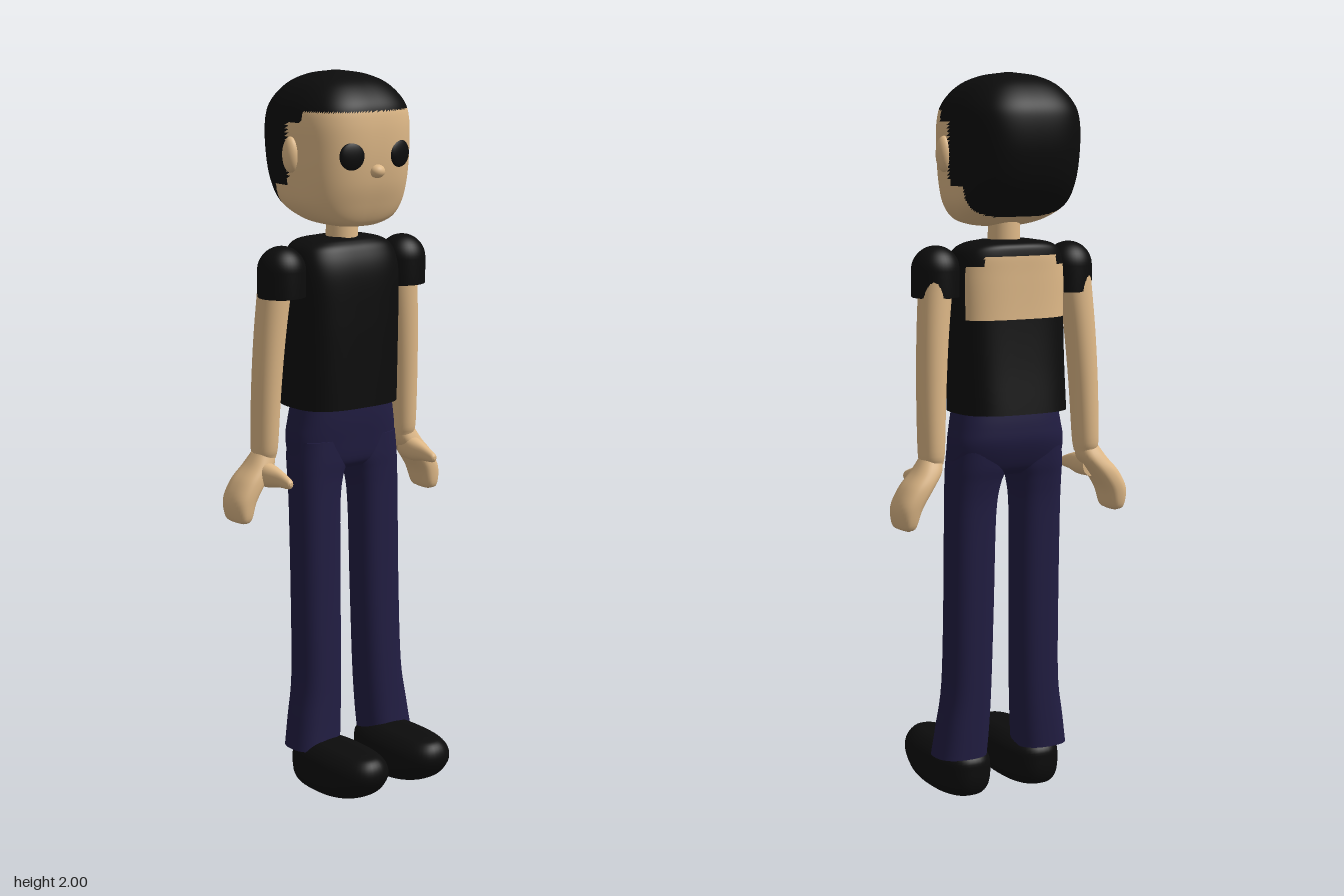
import * as THREE from 'three';

const mat = (color) => new THREE.MeshStandardMaterial({ color, roughness: 0.9 });
const SKIN = mat(0xdeb887), BLACK = mat(0x0c0c0c), DENIM = mat(0x211d42);

// Smooth closed body through rounded cross-sections.
// rows run bottom to top: [y, xMin, xMax, zMin, zMax]; n sets how square the section is.
function loft(rows, { n = 2.3, cols = 40, steps = 5, side = 1 } = {}) {
  const xs = rows.map(([y, a, b]) => side > 0 ? new THREE.Vector3(a, y, b) : new THREE.Vector3(-b, y, -a));
  const zs = rows.map(([y, , , a, b]) => new THREE.Vector3(a, y, b));
  const curveX = new THREE.CatmullRomCurve3(xs, false, 'catmullrom', 0.5);
  const curveZ = new THREE.CatmullRomCurve3(zs, false, 'catmullrom', 0.5);
  const pos = [], index = [], count = (rows.length - 1) * steps;
  const power = (v) => Math.sign(v) * Math.abs(v) ** (2 / n);

  const ring = (i) => {
    const start = pos.length / 3;
    const px = curveX.getPoint(i / count), pz = curveZ.getPoint(i / count);
    const cx = (px.x + px.z) / 2, cz = (pz.x + pz.z) / 2;
    for (let j = 0; j < cols; j++) {
      const a = (j / cols) * Math.PI * 2;
      pos.push(cx + (px.z - px.x) / 2 * power(Math.cos(a)), px.y,
        cz + (pz.z - pz.x) / 2 * power(Math.sin(a)));
    }
    return { start, centre: [cx, px.y, cz] };
  };

  for (let i = 0; i <= count; i++) ring(i);
  for (let i = 0; i < count; i++) {
    for (let j = 0; j < cols; j++) {
      const a = i * cols + j, b = i * cols + (j + 1) % cols;
      index.push(a, a + cols, b, b, a + cols, b + cols);
    }
  }
  // End caps with their own edge, so hems stay crisp
  for (const i of [0, count]) {
    const { start, centre } = ring(i), c = pos.length / 3;
    pos.push(...centre);
    for (let j = 0; j < cols; j++) {
      const a = start + j, b = start + (j + 1) % cols;
      index.push(c, i ? b : a, i ? a : b);
    }
  }
  const g = new THREE.BufferGeometry();
  g.setAttribute('position', new THREE.Float32BufferAttribute(pos, 3));
  g.setIndex(index);
  g.computeVertexNormals();
  return g;
}

// Divides a surface in two by a rule on the middle of each face.
function split(g, rule) {
  const p = g.attributes.position, idx = g.index.array, yes = [], no = [];
  for (let i = 0; i < idx.length; i += 3) {
    const t = [idx[i], idx[i + 1], idx[i + 2]];
    const mid = (get) => (get(t[0]) + get(t[1]) + get(t[2])) / 3;
    const hit = rule(mid((k) => p.getX(k)), mid((k) => p.getY(k)), mid((k) => p.getZ(k)));
    (hit ? yes : no).push(...t);
  }
  return [yes, no].map((list) => g.clone().setIndex(list));
}

export function createModel() {
  const model = new THREE.Group();
  const add = (name, geometry, material) => {
    const mesh = new THREE.Mesh(geometry, material);
    mesh.name = name;
    model.add(mesh);
    return mesh;
  };
  const ball = (name, material, position, scale) => {
    const mesh = add(name, new THREE.SphereGeometry(1, 28, 18), material);
    mesh.position.set(...position);
    mesh.scale.set(...scale);
    return mesh;
  };

  // Head, with the hair cut in steps around the ears
  const skull = loft([
    [1.588, -0.02, 0.02, 0.12, 0.16],
    [1.592, -0.07, 0.07, 0.07, 0.18],
    [1.61, -0.125, 0.125, 0.02, 0.195],
    [1.65, -0.16, 0.16, -0.055, 0.212],
    [1.71, -0.172, 0.172, -0.1, 0.23],
    [1.79, -0.176, 0.176, -0.121, 0.24],
    [1.87, -0.175, 0.175, -0.122, 0.24],
    [1.92, -0.16, 0.16, -0.107, 0.228],
    [1.965, -0.122, 0.122, -0.065, 0.185],
    [1.99, -0.07, 0.07, -0.015, 0.13],
    [2.0, -0.01, 0.01, 0.045, 0.065],
  ], { n: 2.8, cols: 144, steps: 8 });
  const [hair, face] = split(skull, (x, y, z) =>
    y > 1.9 || (z < 0.125 && y > 1.87) || (z < 0.07 && y > 1.7) || (z < 0.005 && y > 1.615));
  add('hair', hair, BLACK);
  add('face', face, SKIN);
  ball('nose', SKIN, [0, 1.742, 0.236], [0.022, 0.018, 0.02]);
  add('neck', new THREE.CylinderGeometry(0.042, 0.046, 0.12, 32), SKIN).position.set(0, 1.57, 0.08);

  // Shirt with an open panel across the upper back
  const torso = loft([
    [1.09, -0.16, 0.16, -0.055, 0.185],
    [1.22, -0.16, 0.16, -0.04, 0.186],
    [1.345, -0.161, 0.161, -0.03, 0.186],
    [1.46, -0.162, 0.162, -0.026, 0.182],
    [1.52, -0.15, 0.15, -0.024, 0.165],
    [1.545, -0.12, 0.12, -0.014, 0.143],
    [1.555, -0.07, 0.07, 0.02, 0.115],
  ], { n: 3, cols: 120, steps: 8 });
  const [back, shirt] = split(torso, (x, y, z) =>
    z < 0.02 && y > 1.345 && y < (Math.abs(x) < 0.11 ? 1.515 : 1.49));
  add('shirt', shirt, BLACK);
  add('bareBack', back, SKIN);

  // Hips
  add('hips', loft([
    [0.915, -0.13, 0.13, 0.03, 0.135],
    [0.94, -0.165, 0.165, 0.008, 0.15],
    [1.0, -0.17, 0.17, -0.014, 0.158],
    [1.05, -0.162, 0.162, -0.016, 0.163],
    [1.1, -0.152, 0.152, -0.012, 0.165],
  ], { n: 2.6, cols: 64 }), DENIM);

  // Domed sleeve profile
  const dome = [new THREE.Vector2(0, 0), new THREE.Vector2(0.064, 0), new THREE.Vector2(0.066, 0.002)];
  for (let i = 0; i <= 12; i++) {
    const a = (i / 12) * Math.PI / 2;
    dome.push(new THREE.Vector2(0.066 * Math.cos(a), 0.072 + 0.066 * Math.sin(a)));
  }

  for (const side of [1, -1]) {
    const label = side > 0 ? 'left' : 'right';

    ball(label + 'Eye', BLACK, [side * 0.08, 1.785, 0.23], [0.037, 0.037, 0.011]).rotation.y = side * 0.18;
    ball(label + 'Ear', SKIN, [side * 0.178, 1.785, 0.09], [0.021, 0.048, 0.026]);

    add(label + 'Sleeve', new THREE.LatheGeometry(dome, 40), BLACK).position.set(side * 0.207, 1.405, 0.085);

    add(label + 'Arm', loft([
      [0.96, 0.212, 0.274, 0.012, 0.08],
      [1.0, 0.208, 0.277, 0.004, 0.09],
      [1.15, 0.2, 0.277, 0.008, 0.098],
      [1.3, 0.188, 0.272, 0.014, 0.106],
      [1.45, 0.17, 0.262, 0.022, 0.114],
    ], { n: 2.1, side }), SKIN);

    // Mitten hand with a tapered thumb reaching forward
    add(label + 'Hand', loft([
      [0.788, 0.318, 0.334, 0.015, 0.07],
      [0.8, 0.303, 0.352, -0.005, 0.09],
      [0.85, 0.284, 0.358, -0.014, 0.095],
      [0.9, 0.25, 0.334, -0.013, 0.094],
      [0.94, 0.222, 0.3, -0.002, 0.088],
      [0.975, 0.215, 0.276, 0.014, 0.078],
    ], { n: 2.5, side }), SKIN);
    add(label + 'Thumb', loft([
      [0.04, 0.232, 0.29, -0.955, -0.885],
      [0.09, 0.228, 0.282, -0.95, -0.885],
      [0.135, 0.235, 0.268, -0.938, -0.893],
      [0.175, 0.24, 0.262, -0.924, -0.896],
      [0.184, 0.246, 0.256, -0.915, -0.905],
    ], { n: 2.2, cols: 24, side }).rotateX(Math.PI / 2), SKIN);

    // Trouser leg, flared at the ankle
    add(label + 'TrouserLeg', loft([
      [0.12, 0.052, 0.204, 0.04, 0.176],
      [0.2, 0.046, 0.192, 0.038, 0.17],
      [0.32, 0.041, 0.175, 0.036, 0.164],
      [0.55, 0.036, 0.172, 0.032, 0.155],
      [0.8, 0.032, 0.172, 0.025, 0.15],
      [0.89, 0.02, 0.172, 0.016, 0.15],
      [0.94, 0.0, 0.171, 0.006, 0.152],
      [1.0, 0.0, 0.165, 0.0, 0.152],
    ], { n: 2.5, side }), DENIM);

    // Rounded shoe
    add(label + 'Shoe', loft([
      [0.002, 0.08, 0.14, 0.1, 0.23],
      [0.01, 0.05, 0.172, 0.06, 0.285],
      [0.035, 0.026, 0.194, 0.043, 0.345],
      [0.08, 0.018, 0.202, 0.04, 0.383],
      [0.115, 0.026, 0.194, 0.046, 0.384],
      [0.14, 0.054, 0.166, 0.09, 0.365],
      [0.148, 0.09, 0.13, 0.17, 0.33],
    ], { n: 2.4, cols: 48, side }), BLACK);
  }
  return model;
}
